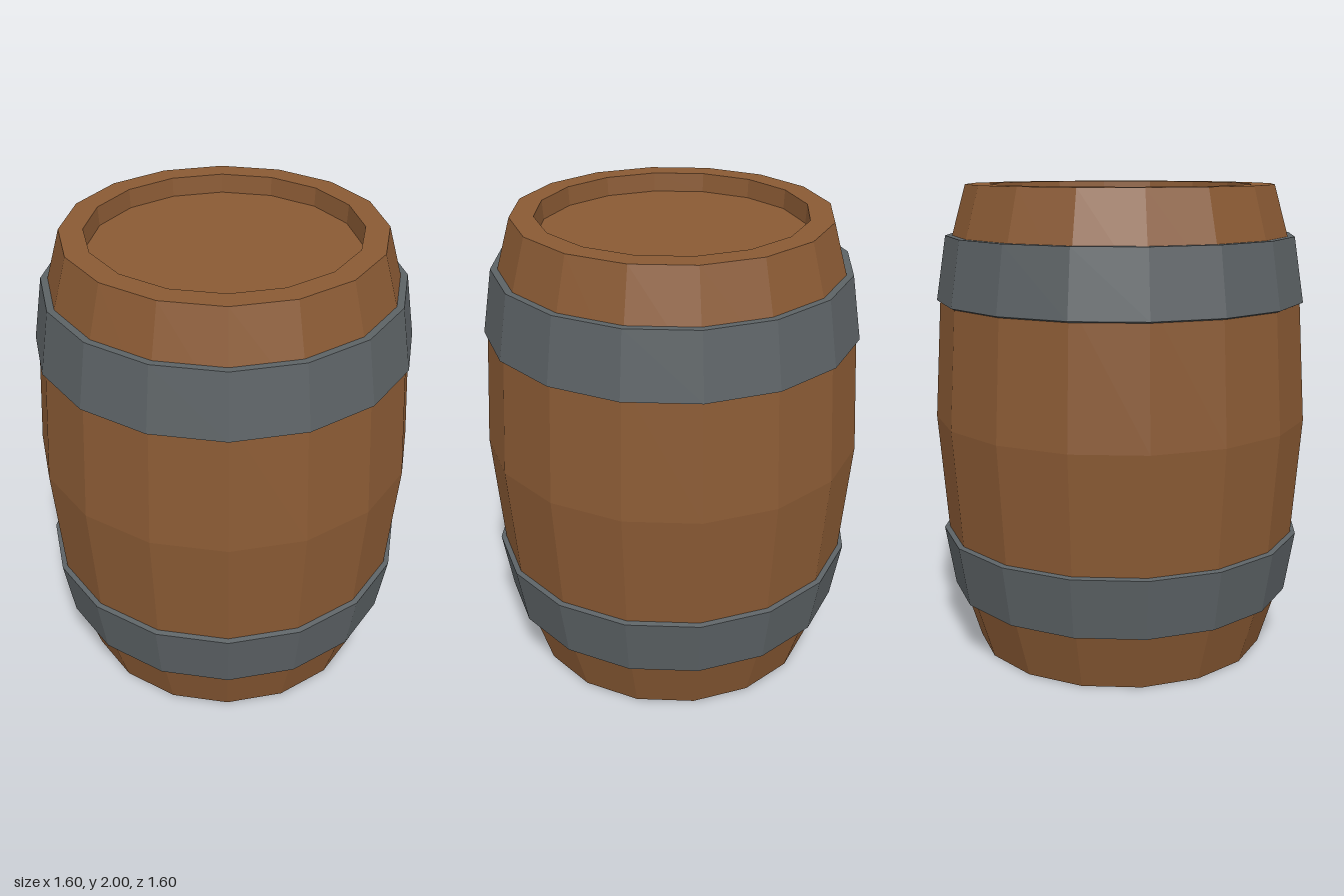
import * as THREE from 'three';

const SIDES = 16;

// Faceted 16-sided solid turned from [radius, height] points, bottom to top on the outside
function turned(name, points, color) {
  const profile = points.map(([r, y]) => new THREE.Vector2(r, y));
  const geometry = new THREE.LatheGeometry(profile, SIDES).toNonIndexed();
  geometry.computeVertexNormals();
  const material = new THREE.MeshStandardMaterial({ color, flatShading: true });
  const mesh = new THREE.Mesh(geometry, material);
  mesh.name = name;
  return mesh;
}

export function createModel() {
  const barrel = new THREE.Group();
  barrel.name = 'barrel';
  const wood = 0x8a5a34;
  const iron = 0x5c6265;

  // Bulging staves with a raised rim at both ends
  barrel.add(turned('staves', [
    [0.55, 0.09], [0.55, 0], [0.633, 0], [0.75, 0.38], [0.8, 1.02],
    [0.764, 1.6], [0.652, 2], [0.555, 2], [0.55, 1.92],
  ], wood));

  // Recessed end boards
  barrel.add(turned('bottomLid', [[0, 0.09], [0.55, 0.09]], wood));
  barrel.add(turned('topLid', [[0.55, 1.92], [0, 1.92]], wood));

  // Hoops, each a closed ring that leans with the staves
  barrel.add(turned('lowerHoop', [
    [0.69, 0.255], [0.74, 0.255], [0.783, 0.515], [0.75, 0.522], [0.69, 0.255],
  ], iron));
  barrel.add(turned('upperHoop', [
    [0.75, 1.505], [0.783, 1.52], [0.74, 1.79], [0.69, 1.79], [0.75, 1.505],
  ], iron));

  return barrel;
}
